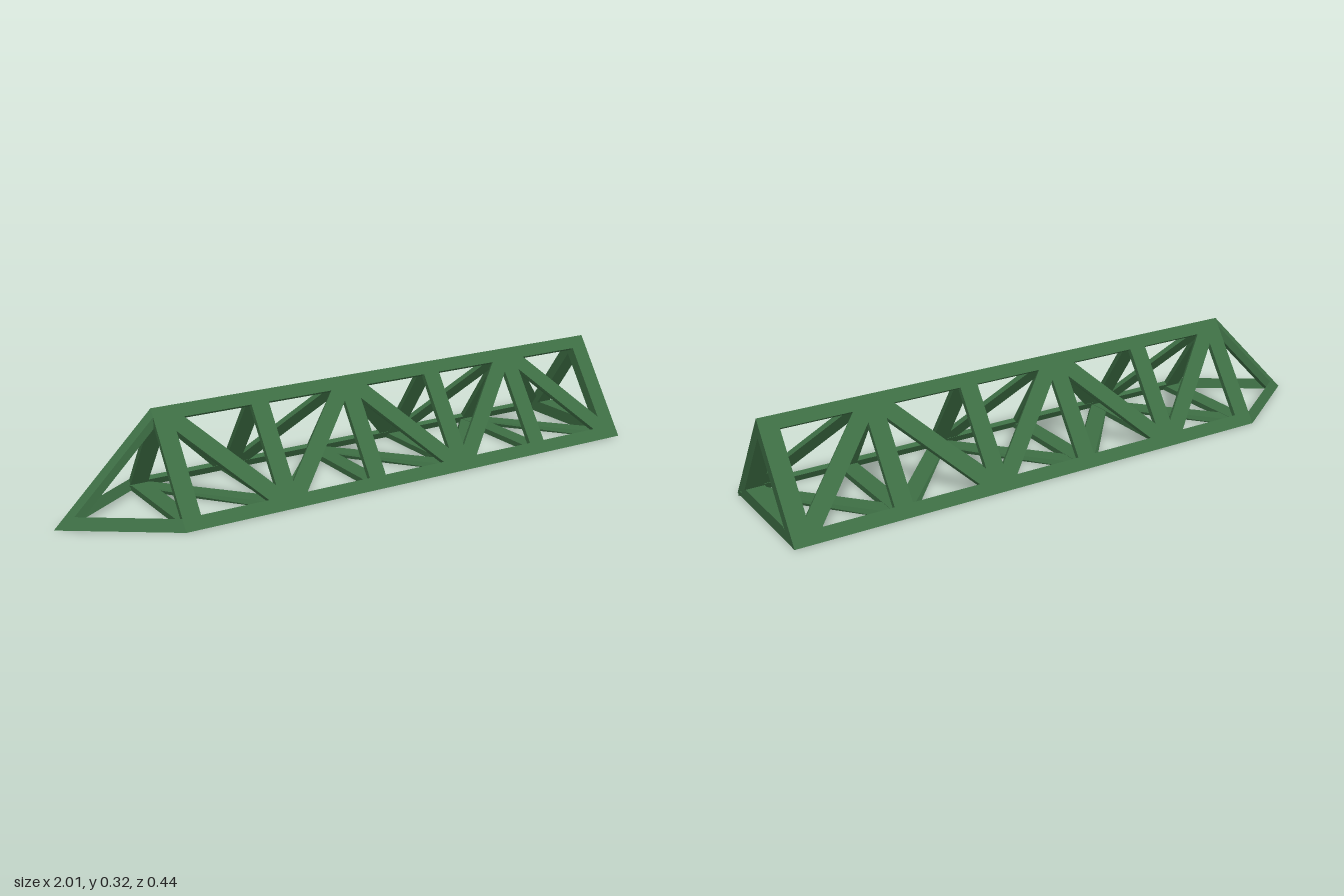
import * as THREE from 'three';
import { ConvexGeometry } from 'three/addons/geometries/ConvexGeometry.js';

// Triangular truss: ridge at the top, two lower edges, pointed tip at -x
const H = 0.32, W = 0.22, X0 = -0.68, X1 = 1;
const CHORD = 0.035, HALF = 0.03, DIAG = 0.036;
const LEN = Math.hypot(H, W), NY = W / LEN, NZ = H / LEN;

export function createModel() {
  const model = new THREE.Group();
  model.name = 'truss';
  const green = new THREE.MeshStandardMaterial({ color: 0x3d6e44 });
  green.name = 'truss green';

  const hull = (parent, name, pts) => {
    const mesh = new THREE.Mesh(new ConvexGeometry(pts.map((p) => new THREE.Vector3(...p))), green);
    mesh.name = name;
    parent.add(mesh);
  };
  const group = (name) => {
    const g = new THREE.Group();
    g.name = name;
    model.add(g);
    return g;
  };

  // Bar lying in a sloping side; corners are [x, y], t is its depth inwards
  const sideBar = (parent, name, side, corners, t) => {
    const pts = [];
    for (const [x, y] of corners) {
      const z = W * (1 - y / H);
      let iy = y - NY * t, iz = z - NZ * t;
      if (iy < 0) { iy = 0; iz = W - t / NZ; }
      if (iz < 0) { iz = 0; iy = H - t / NY; }
      pts.push([x, y, side * z], [x, iy, side * iz]);
    }
    hull(parent, name, pts);
  };

  // Bar lying in the base; corners are [x, z], t is its height
  const baseBar = (parent, name, corners, t) => {
    const lim = W - 1.9 * t;
    const pts = [];
    for (const [x, z] of corners) {
      pts.push([x, 0, z], [x, t, Math.max(-lim, Math.min(lim, z))]);
    }
    hull(parent, name, pts);
  };

  const rect = (a, b, c, d) => [[a, c], [b, c], [b, d], [a, d]];
  // Slanting bar with level ends between two points
  const slant = (xa, a, xb, b) => [[xa - DIAG, a], [xa + DIAG, a], [xb + DIAG, b], [xb - DIAG, b]];
  const stations = [0, 1, 2, 3, 4, 5].map((i) => X0 + HALF + i * 0.324);

  // Two sloping sides, mirrored
  for (const side of [1, -1]) {
    const g = group(side > 0 ? 'frontSide' : 'backSide');
    sideBar(g, 'lowerChord', side, rect(X0, X1, 0, CHORD), 0.016);
    sideBar(g, 'ridgeChord', side, rect(X0, X1, H - CHORD, H), 0.016);
    stations.forEach((x, i) => {
      const last = i === 5;
      sideBar(g, 'strut', side, rect(x - HALF, last ? X1 : x + HALF, 0, H), last ? 0.034 : 0.016);
      if (last) return;
      const y = i % 2 ? [0.015, H - 0.015] : [H - 0.015, 0.015];
      sideBar(g, 'diagonal', side, slant(x + 0.01, y[0], stations[i + 1] - 0.01, y[1]), 0.015);
    });
  }

  // Base cross struts and zigzag
  const base = group('base');
  stations.forEach((x, i) => {
    const last = i === 5;
    baseBar(base, 'crossStrut', rect(x - HALF, last ? X1 : x + HALF, -W, W), last ? 0.04 : 0.018);
    if (last) return;
    const s = i % 2 ? 1 : -1;
    baseBar(base, 'baseDiagonal', slant(x, s * 0.2, stations[i + 1], -s * 0.2), 0.017);
  });

  // Pointed tip: one ridge bar and two lower bars
  const tip = group('tip');
  const r = 0.0165;
  hull(tip, 'tipRidgeBar', [
    [-1, 0, 0], [X0, H, 0],
    [X0, 0.296, r], [X0, 0.296, -r], [X0, 0.26, r], [X0, 0.26, -r],
    [-0.976, 0, r], [-0.976, 0, -r], [-0.94, 0, r], [-0.94, 0, -r],
  ]);
  for (const s of [1, -1]) {
    hull(tip, 'tipLowerBar', [
      [-1, 0, 0], [-0.965, CHORD, 0], [-0.95, 0, 0],
      [X0, 0, s * W], [X0, CHORD, s * 0.196], [X0, 0, s * 0.185],
    ]);
  }
  return model;
}
